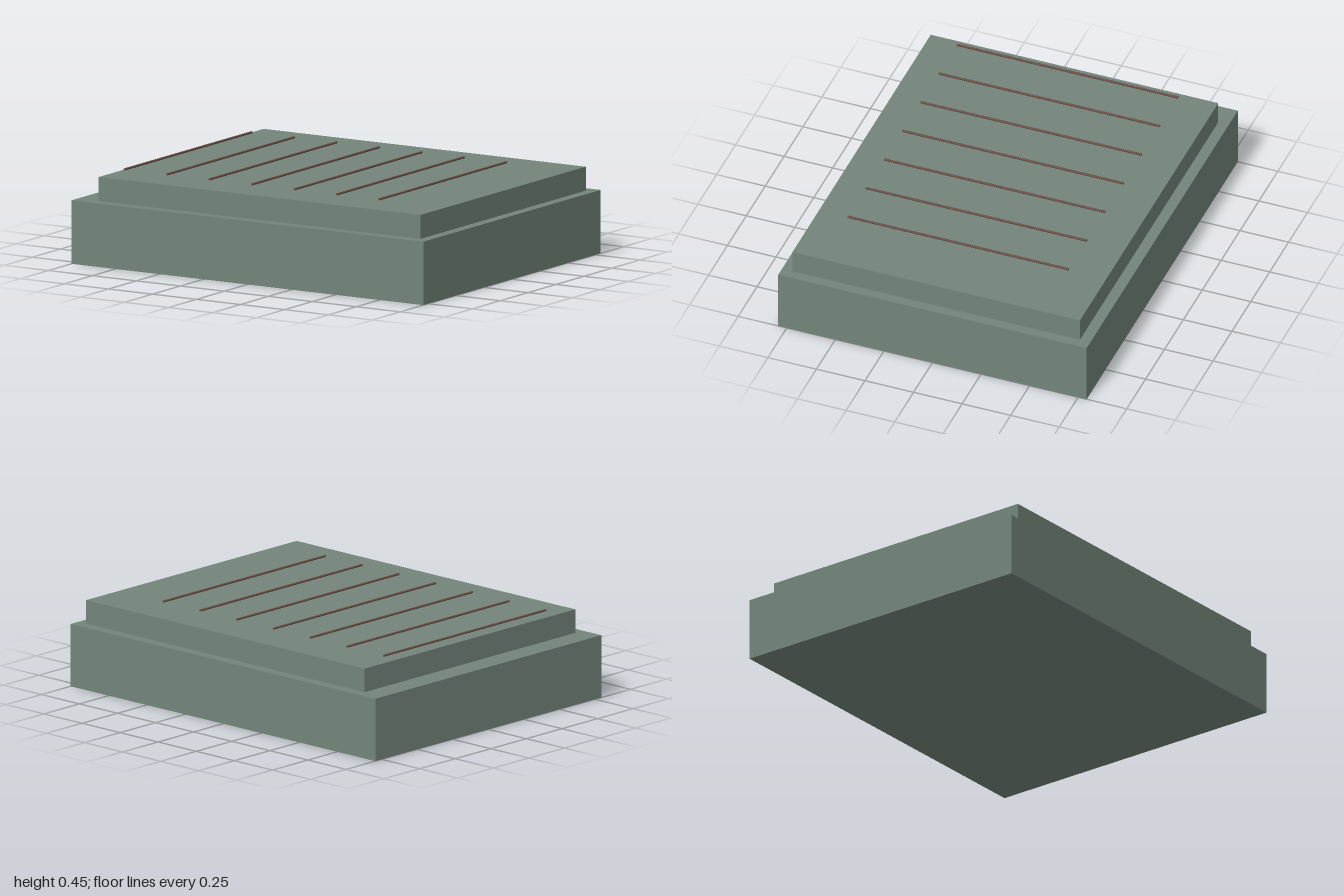
import * as THREE from 'three';

export function createModel() {
  const group = new THREE.Group();
  const green = new THREE.MeshStandardMaterial({ color: 0x73857a });
  const brown = new THREE.MeshStandardMaterial({ color: 0x6b5048 });

  function slab(name, x0, x1, y0, y1, depth) {
    const mesh = new THREE.Mesh(new THREE.BoxGeometry(x1 - x0, y1 - y0, depth), green);
    mesh.position.set((x0 + x1) / 2, (y0 + y1) / 2, 0);
    mesh.name = name;
    group.add(mesh);
  }

  // Stepped body: wide base with a slightly offset upper slab
  slab('base', -1, 1, 0, 0.31, 1.588);
  slab('upperSlab', -0.88, 0.95, 0.31, 0.427, 1.48);

  // Row of thin rods just above the top surface
  const rods = new THREE.Group();
  rods.name = 'rods';
  const rodGeometry = new THREE.CylinderGeometry(0.006, 0.006, 1.138, 8).rotateX(Math.PI / 2);
  const count = 7;
  for (let i = 0; i < count; i++) {
    const rod = new THREE.Mesh(rodGeometry, brown);
    rod.position.set(THREE.MathUtils.lerp(-0.83, 0.617, i / (count - 1)), 0.445, 0.016);
    rod.name = `rod${i + 1}`;
    rods.add(rod);
  }
  group.add(rods);
  return group;
}
